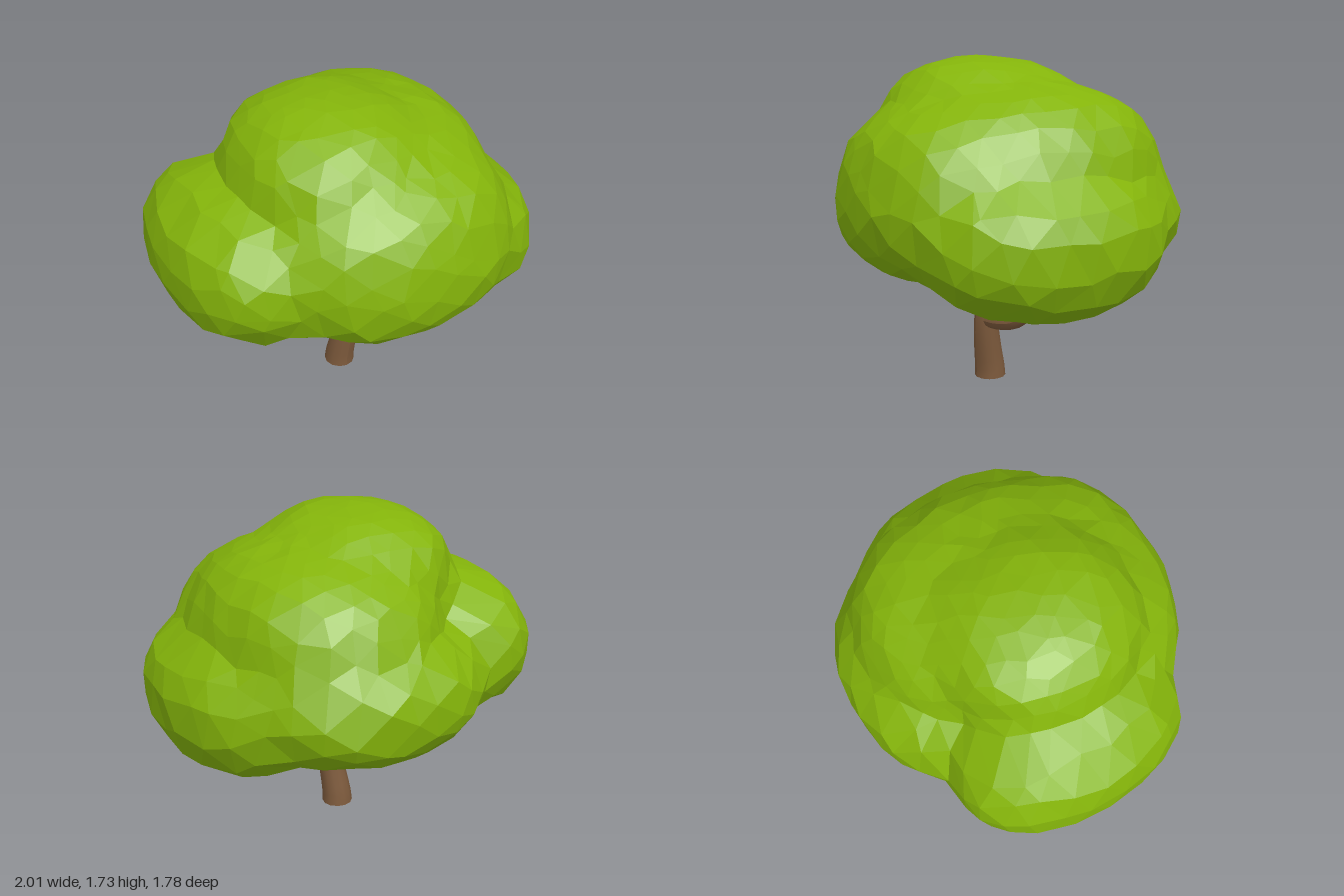
import * as THREE from 'three';

const leafMaterial = new THREE.MeshStandardMaterial({ color: 0x84b40a, flatShading: true });
const barkMaterial = new THREE.MeshStandardMaterial({ color: 0x7d5a3c, side: THREE.DoubleSide });

// Clumps of leaves that melt into one crown: center, radii
const clumps = [
  { c: [-0.59, 0.97, -0.02], r: [0.41, 0.4, 0.62] },  // right side
  { c: [0.57, 0.84, 0.07], r: [0.43, 0.375, 0.62] },  // left side
  { c: [0.05, 1.08, 0.39], r: [0.64, 0.42, 0.47] },   // front
  { c: [0.06, 0.94, 0.46], r: [0.6, 0.32, 0.42] },    // front, lower
  { c: [0.1, 0.91, -0.41], r: [0.62, 0.33, 0.48] },   // back
  { c: [0.19, 1.17, -0.04], r: [0.58, 0.435, 0.69] }, // upper
  { c: [-0.12, 1.39, 0.06], r: [0.48, 0.335, 0.52] }, // top
];

// Smoothly joined distance to all clumps, negative inside
function crownField(x, y, z) {
  const blend = 0.028;
  const e = 2.25;
  let sum = 0;
  for (const { c, r } of clumps) {
    const n = Math.abs((x - c[0]) / r[0]) ** e + Math.abs((y - c[1]) / r[1]) ** e + Math.abs((z - c[2]) / r[2]) ** e;
    sum += Math.exp((-0.45 * (n ** (1 / e) - 1)) / blend);
  }
  return -blend * Math.log(sum);
}

// Repeatable value in -0.5..0.5 for a point, so coincident corners move together
function hash(x, y, z, seed) {
  const r = (v) => Math.round(v * 1000) / 1000;
  const s = Math.sin(r(x) * 12.99 + r(y) * 78.23 + r(z) * 37.72 + seed * 4.17) * 43758.55;
  return s - Math.floor(s) - 0.5;
}

// Faceted crown: every corner of a sphere is drawn in along its ray to the crown surface
function leafCrown() {
  const geometry = new THREE.IcosahedronGeometry(1, 6);
  const pos = geometry.attributes.position;
  const middle = new THREE.Vector3(0, 1.06, 0);
  const d = new THREE.Vector3();
  for (let i = 0; i < pos.count; i++) {
    d.fromBufferAttribute(pos, i);
    const { x, y, z } = d;
    d.x += 0.08 * hash(x, y, z, 1);
    d.y += 0.08 * hash(x, y, z, 2);
    d.z += 0.08 * hash(x, y, z, 3);
    d.normalize();
    let t = 1.3;
    while (t > 0.1 && crownField(d.x * t, middle.y + d.y * t, d.z * t) > 0) t -= 0.004;
    d.multiplyScalar(t + 0.004 + 0.012 * hash(x, y, z, 4)).add(middle);
    pos.setXYZ(i, d.x, d.y, d.z);
  }
  geometry.computeVertexNormals();
  const mesh = new THREE.Mesh(geometry, leafMaterial);
  mesh.name = 'crown';
  return mesh;
}

// Round limb along a curve, tapering from radius r0 to r1, with a closed tip
function limb(name, points, r0, r1, sides = 10) {
  const group = new THREE.Group();
  group.name = name;
  const curve = new THREE.CatmullRomCurve3(points.map((q) => new THREE.Vector3(...q)));
  const steps = 14;
  const geometry = new THREE.TubeGeometry(curve, steps, 1, sides);
  const pos = geometry.attributes.position;
  const v = new THREE.Vector3();
  for (let i = 0; i < pos.count; i++) {
    const t = Math.floor(i / (sides + 1)) / steps;
    const c = curve.getPointAt(t);
    v.fromBufferAttribute(pos, i).sub(c).multiplyScalar(r0 + (r1 - r0) * t).add(c);
    pos.setXYZ(i, v.x, v.y, v.z);
  }
  geometry.computeVertexNormals();
  const tip = new THREE.Mesh(new THREE.SphereGeometry(r1, sides, 6), barkMaterial);
  tip.position.copy(curve.getPointAt(1));
  group.add(new THREE.Mesh(geometry, barkMaterial), tip);
  return group;
}

export function createModel() {
  const tree = new THREE.Group();
  tree.name = 'tree';

  // Trunk with a slight lean and its flat underside
  tree.add(limb('trunk', [
    [-0.026, 0.004, 0.06], [-0.025, 0.04, 0.061], [-0.014, 0.16, 0.08], [0.005, 0.32, 0.1], [0.02, 0.5, 0.095], [0.01, 0.75, 0.06],
  ], 0.083, 0.04, 12));
  const base = new THREE.Mesh(new THREE.CircleGeometry(0.083, 12), barkMaterial);
  base.name = 'trunkBase';
  base.rotation.x = Math.PI / 2;
  base.position.set(-0.026, 0.004, 0.06);
  tree.add(base);

  // Branches reaching into the leaves
  tree.add(
    limb('leftBranch', [[0.01, 0.33, 0.1], [0.18, 0.35, 0.1], [0.32, 0.39, 0.08], [0.42, 0.49, 0.04], [0.47, 0.62, 0.02]], 0.042, 0.025),
    limb('rightBranch', [[0.02, 0.52, 0.09], [-0.12, 0.55, 0.1], [-0.26, 0.61, 0.1], [-0.4, 0.68, 0.1]], 0.038, 0.02),
    limb('backBranch', [[0.01, 0.4, 0.08], [-0.01, 0.46, -0.08], [-0.02, 0.53, -0.25], [-0.03, 0.65, -0.45]], 0.04, 0.022),
    limb('frontBranch', [[0.02, 0.52, 0.1], [0.01, 0.59, 0.2], [0.02, 0.64, 0.34]], 0.034, 0.022),
  );

  tree.add(leafCrown());
  return tree;
}
